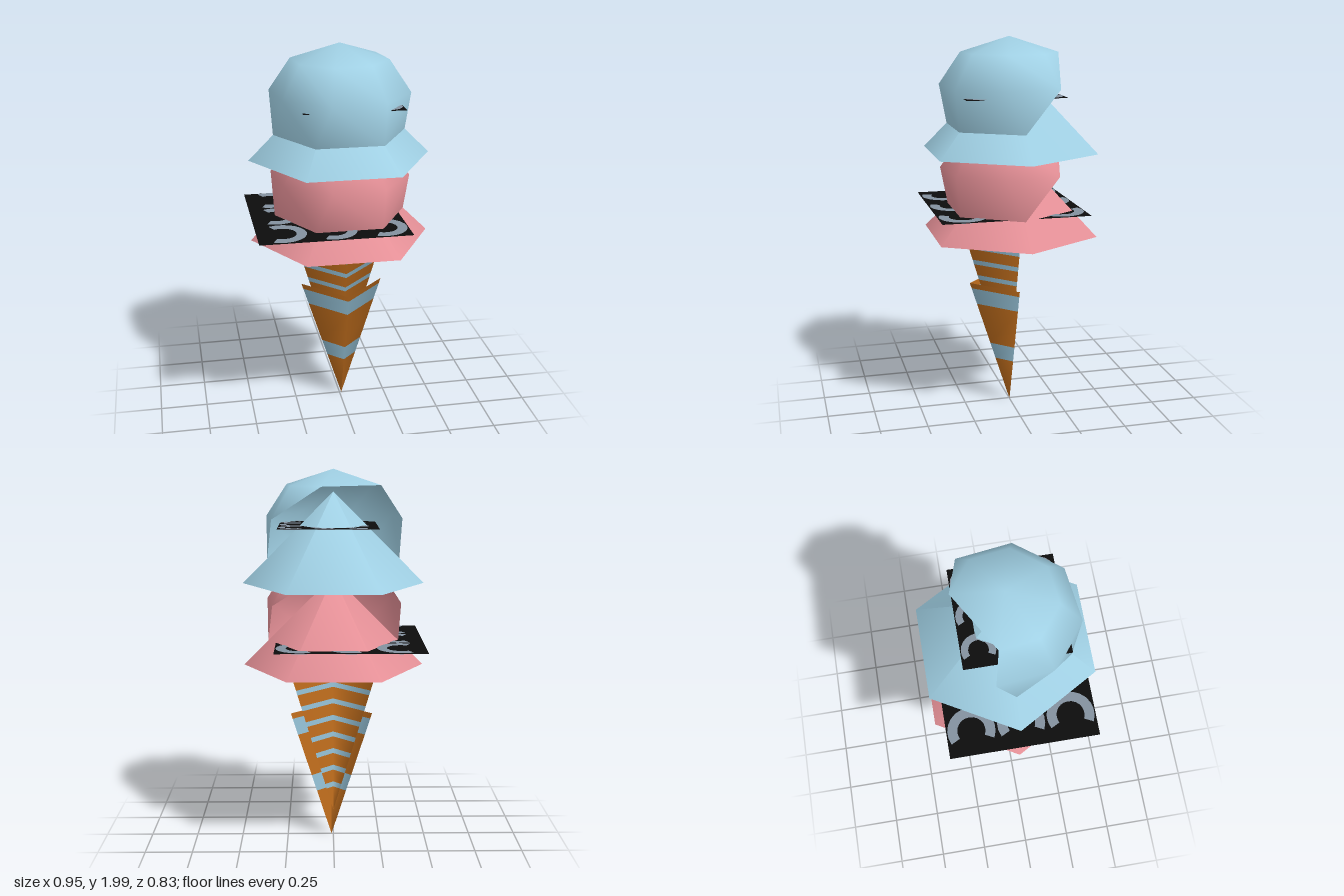
import * as THREE from 'three';

const mat = (name, color) => {
  const m = new THREE.MeshStandardMaterial({ color, side: THREE.DoubleSide });
  m.name = name;
  return m;
};

// Points of one horizontal ring, angles in degrees from +x towards +z
const ring = (y, r, angles) => angles.map((a) => {
  const t = THREE.MathUtils.degToRad(a);
  return [r * Math.cos(t), y, r * Math.sin(t)];
});

// Faceted dome with an open back, flowing down to a half hexagon
function scoopGeometry() {
  const turn = [195.5, 150.5, 105.5, 60.5, 15, -30.5, -75.5];
  const points = [
    [0, 2, 0],
    ...ring(1.92, 0.252, turn), // 1..7
    ...ring(1.755, 0.364, turn.slice(0, 6)), // 8..13
    ...ring(1.54, 0.345, [180, 120, 60, 0]), // 14..17
  ];
  const index = [];
  for (let i = 0; i < 7; i++) index.push(0, 1 + i, 1 + ((i + 1) % 7));
  for (let i = 0; i < 5; i++) {
    index.push(1 + i, 8 + i, 9 + i, 1 + i, 9 + i, 2 + i);
  }
  index.push(6, 13, 7);
  // Walk along the two uneven rings of the wall: e = upper step, b = lower step
  let e = 8, b = 14;
  for (const step of 'ebebeebe') {
    if (step === 'e') index.push(e, b, ++e);
    else index.push(e, b, ++b);
  }
  const g = new THREE.BufferGeometry();
  g.setAttribute('position', new THREE.Float32BufferAttribute(points.flat(), 3));
  g.setIndex(index);
  g.computeVertexNormals();
  return g;
}

export function createModel() {
  const model = new THREE.Group();
  model.name = 'iceCreamCone';
  const blue = mat('blueIce', 0xa0d0e4);
  const pink = mat('pinkIce', 0xe59097);
  const orange = mat('wafer', 0xbe6c1c);
  const stripe = mat('waferStripe', 0x93bfd4);
  const black = mat('blackSheet', 0x0c0c0c);
  const grey = mat('greyPattern', 0x84929f);

  const add = (parent, name, geometry, material, x = 0, y = 0, z = 0) => {
    const mesh = new THREE.Mesh(geometry, material);
    mesh.name = name;
    mesh.position.set(x, y, z);
    parent.add(mesh);
    return mesh;
  };

  // Two scoops, each with a wide hexagonal skirt
  const dome = scoopGeometry();
  const skirt = new THREE.ConeGeometry(0.475, 0.475, 6, 1, true, Math.PI / 6);
  for (const [name, material, drop] of [['upper', blue, 0], ['lower', pink, -0.437]]) {
    add(model, name + 'Scoop', dome, material, 0, drop, 0);
    add(model, name + 'Skirt', skirt, material, 0, 1.6475 + drop, 0);
  }

  // Two-sided half cone cut into bands of alternating colour
  const halfCone = (name, x, tip, top, slope, stripes) => {
    const group = new THREE.Group();
    group.name = name;
    model.add(group);
    const band = (part, y0, y1, material) => add(group, part,
      new THREE.CylinderGeometry((y1 - tip) * slope, (y0 - tip) * slope, y1 - y0,
        2, 1, true, -Math.PI / 2, Math.PI),
      material, x, (y0 + y1) / 2, 0);
    let y = tip;
    for (const [from, to] of stripes) {
      band('waferBand', y, from, orange);
      band('stripeBand', from, to, stripe);
      y = to;
    }
    band('waferBand', y, top, orange);
  };
  halfCone('outerCone', 0.01, 0.01, 0.7, 0.318, [[0.26, 0.35], [0.58, 0.67]]);
  const fine = [];
  for (let i = 7; i >= 0; i--) fine.push([0.888 - i * 0.088, 0.914 - i * 0.088]);
  halfCone('innerCone', 0, 0.15, 0.99, 0.297, fine);

  // Flat patterned sheets: grey crescents on black, on both faces
  const sheet = (name, size, x, y, z) => {
    const group = new THREE.Group();
    group.name = name;
    group.position.set(x, y, z);
    model.add(group);
    add(group, 'sheetBase', new THREE.PlaneGeometry(size, size).rotateX(-Math.PI / 2), black);
    const cell = size / 3;
    const crescent = new THREE.RingGeometry(cell * 0.28, cell * 0.48, 14, 1,
      -Math.PI * 0.65, Math.PI * 1.3).rotateX(-Math.PI / 2);
    for (let i = -1; i <= 1; i++) {
      for (let j = -1; j <= 1; j++) {
        for (const side of [-0.003, 0.003]) {
          add(group, 'crescent', crescent, grey, i * cell, side, j * cell);
        }
      }
    }
  };
  sheet('lowerSheet', 0.775, -0.085, 1.105, 0.0275);
  sheet('upperSheet', 0.515, 0.0275, 1.71, 0.025);

  return model;
}
